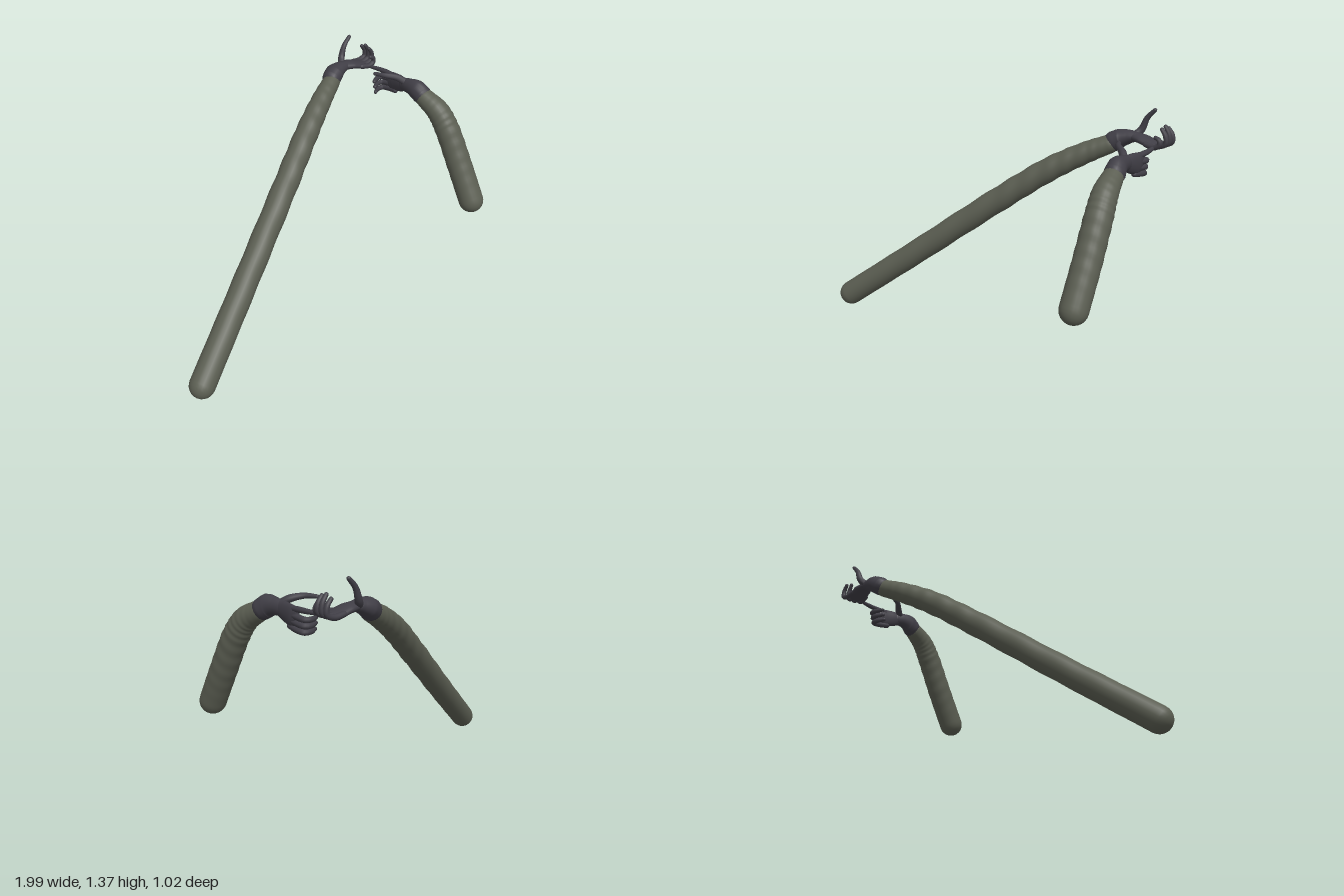
import * as THREE from 'three';

const sleeve = new THREE.MeshStandardMaterial({ color: 0x5b5e52 });
sleeve.name = 'olive sleeve';
const glove = new THREE.MeshStandardMaterial({ color: 0x403e46 });
glove.name = 'charcoal glove';

const X = new THREE.Vector3(1, 0, 0);
const Y = new THREE.Vector3(0, 1, 0);
const Z = new THREE.Vector3(0, 0, 1);

// Lofts round-ended elliptical sections along a curve.
// stations: [x, y, z, halfWidth along ref, halfThickness]
function limb(name, material, stations, ref, { steps = 24, sides = 16, wobble = 0 } = {}) {
  const curve = new THREE.CatmullRomCurve3(stations.map(s => new THREE.Vector3(s[0], s[1], s[2])));
  const rings = [];
  const sample = (t) => {
    const f = t * (stations.length - 1);
    const i = Math.min(Math.floor(f), stations.length - 2);
    const k = f - i;
    const mix = j => THREE.MathUtils.lerp(stations[i][j] ?? stations[i][3], stations[i + 1][j] ?? stations[i + 1][3], k);
    return { c: curve.getPoint(t), d: curve.getTangent(t), w: mix(3), h: mix(4), t };
  };
  const cap = (t, sign) => {
    const out = [];
    for (let k = 0; k < 6; k++) {
      const a = (k / 6) * Math.PI / 2;
      const s = sample(t);
      s.c.addScaledVector(s.d, sign * Math.min(s.w, s.h) * Math.cos(a));
      s.w *= Math.max(Math.sin(a), 0.001);
      s.h *= Math.max(Math.sin(a), 0.001);
      out.push(s);
    }
    return out;
  };
  rings.push(...cap(0, -1));
  for (let i = 0; i <= steps; i++) rings.push(sample(i / steps));
  rings.push(...cap(1, 1).reverse());

  const pos = [], index = [];
  rings.forEach(({ c, d, w, h, t }, r) => {
    const n = ref.clone().addScaledVector(d, -ref.dot(d)).normalize();
    const b = d.clone().cross(n);
    for (let j = 0; j < sides; j++) {
      const a = (j / sides) * Math.PI * 2;
      const fold = 1 + wobble * Math.sin(t * 75 + 2 * Math.sin(a)) * Math.sin(Math.PI * t);
      const p = c.clone().addScaledVector(n, w * fold * Math.cos(a)).addScaledVector(b, h * fold * Math.sin(a));
      pos.push(p.x, p.y, p.z);
      if (r < rings.length - 1) {
        const j2 = (j + 1) % sides, p0 = r * sides, p1 = p0 + sides;
        index.push(p0 + j, p0 + j2, p1 + j, p0 + j2, p1 + j2, p1 + j);
      }
    }
  });
  const geo = new THREE.BufferGeometry();
  geo.setAttribute('position', new THREE.Float32BufferAttribute(pos, 3));
  geo.setIndex(index);
  geo.computeVertexNormals();
  const mesh = new THREE.Mesh(geo, material);
  mesh.name = name;
  return mesh;
}

const digit = { steps: 14, sides: 10 };

// Long arm: open hand, palm up, fingers curled upward
function longArm() {
  const g = new THREE.Group();
  g.name = 'rightArm';
  g.add(limb('rightSleeve', sleeve, [
    [-0.92, 0.08, 0.315, 0.073], [-0.5, 0.42, 0.11, 0.072], [-0.05, 0.79, -0.11, 0.071],
    [0.22, 1.0, -0.25, 0.068], [0.4, 1.11, -0.345, 0.06], [0.51, 1.165, -0.4, 0.052],
  ], Z, { steps: 90, sides: 24, wobble: 0.03 }));
  g.add(limb('rightCuff', glove, [
    [0.525, 1.18, -0.415, 0.058, 0.056], [0.56, 1.2, -0.43, 0.06, 0.052],
    [0.61, 1.215, -0.438, 0.044, 0.038], [0.65, 1.22, -0.442, 0.036, 0.026],
  ], Z));
  g.add(limb('rightPalm', glove, [
    [0.63, 1.22, -0.442, 0.036, 0.026], [0.69, 1.215, -0.442, 0.052, 0.024],
    [0.75, 1.2, -0.44, 0.058, 0.021], [0.78, 1.197, -0.437, 0.054, 0.016],
  ], Z));
  const tips = [1.295, 1.31, 1.3, 1.26];
  tips.forEach((tip, i) => {
    const z = -0.488 + i * 0.034;
    const reach = 0.843 - (i === 3 ? 0.015 : 0);
    g.add(limb('rightFinger' + (i + 1), glove, [
      [0.74, 1.203, z * 0.9 - 0.044, 0.015], [0.8, 1.197, z, 0.016],
      [reach, 1.215, z, 0.0145], [reach - 0.002, (1.215 + tip) / 2, z, 0.0135], [reach - 0.025, tip - 0.01, z, 0.011],
    ], Z, digit));
  });
  g.add(limb('rightThumb', glove, [
    [0.63, 1.22, -0.455, 0.022], [0.655, 1.255, -0.485, 0.02],
    [0.68, 1.32, -0.493, 0.015], [0.722, 1.367, -0.498, 0.011],
  ], Z, digit));
  return g;
}

// Short arm: pointing hand, palm turned inward
function shortArm() {
  const g = new THREE.Group();
  g.name = 'leftArm';
  g.add(limb('leftSleeve', sleeve, [
    [0.92, 0.59, 0.44, 0.073], [0.905, 0.8, 0.325, 0.073], [0.885, 1.0, 0.215, 0.071],
    [0.868, 1.085, 0.15, 0.066], [0.845, 1.14, 0.06, 0.055],
  ], X, { steps: 60, sides: 24, wobble: 0.02 }));
  g.add(limb('leftCuff', glove, [
    [0.84, 1.155, 0.035, 0.058, 0.055], [0.83, 1.175, 0.0, 0.06, 0.05],
    [0.823, 1.18, -0.05, 0.046, 0.038], [0.82, 1.175, -0.1, 0.04, 0.027],
  ], Y));
  g.add(limb('leftPalm', glove, [
    [0.82, 1.178, -0.08, 0.038, 0.026], [0.822, 1.168, -0.13, 0.052, 0.024],
    [0.825, 1.157, -0.19, 0.058, 0.021], [0.823, 1.15, -0.22, 0.052, 0.016],
  ], Y));
  // Straight pointing finger
  g.add(limb('leftIndexFinger', glove, [
    [0.823, 1.19, -0.17, 0.016], [0.822, 1.195, -0.24, 0.016],
    [0.815, 1.195, -0.3, 0.014], [0.798, 1.194, -0.365, 0.011],
  ], Y, digit));
  // Three curled fingers
  for (let i = 0; i < 3; i++) {
    const y = 1.158 - i * 0.032, end = -0.3 + i * 0.008;
    g.add(limb('leftFinger' + (i + 2), glove, [
      [0.823, y + 0.01, -0.17, 0.016], [0.826, y, -0.235, 0.0165],
      [0.815, y - 0.006, end + 0.01, 0.0155], [0.78, y - 0.007, end + 0.008, 0.0145], [0.735, y - 0.006, end + 0.035, 0.011],
    ], Y, digit));
  }
  g.add(limb('leftThumb', glove, [
    [0.815, 1.195, -0.08, 0.022], [0.78, 1.222, -0.115, 0.02],
    [0.725, 1.235, -0.16, 0.015], [0.692, 1.235, -0.215, 0.011],
  ], Y, digit));
  return g;
}

export function createModel() {
  const model = new THREE.Group();
  model.name = 'pairOfArms';
  model.add(longArm(), shortArm());
  return model;
}
